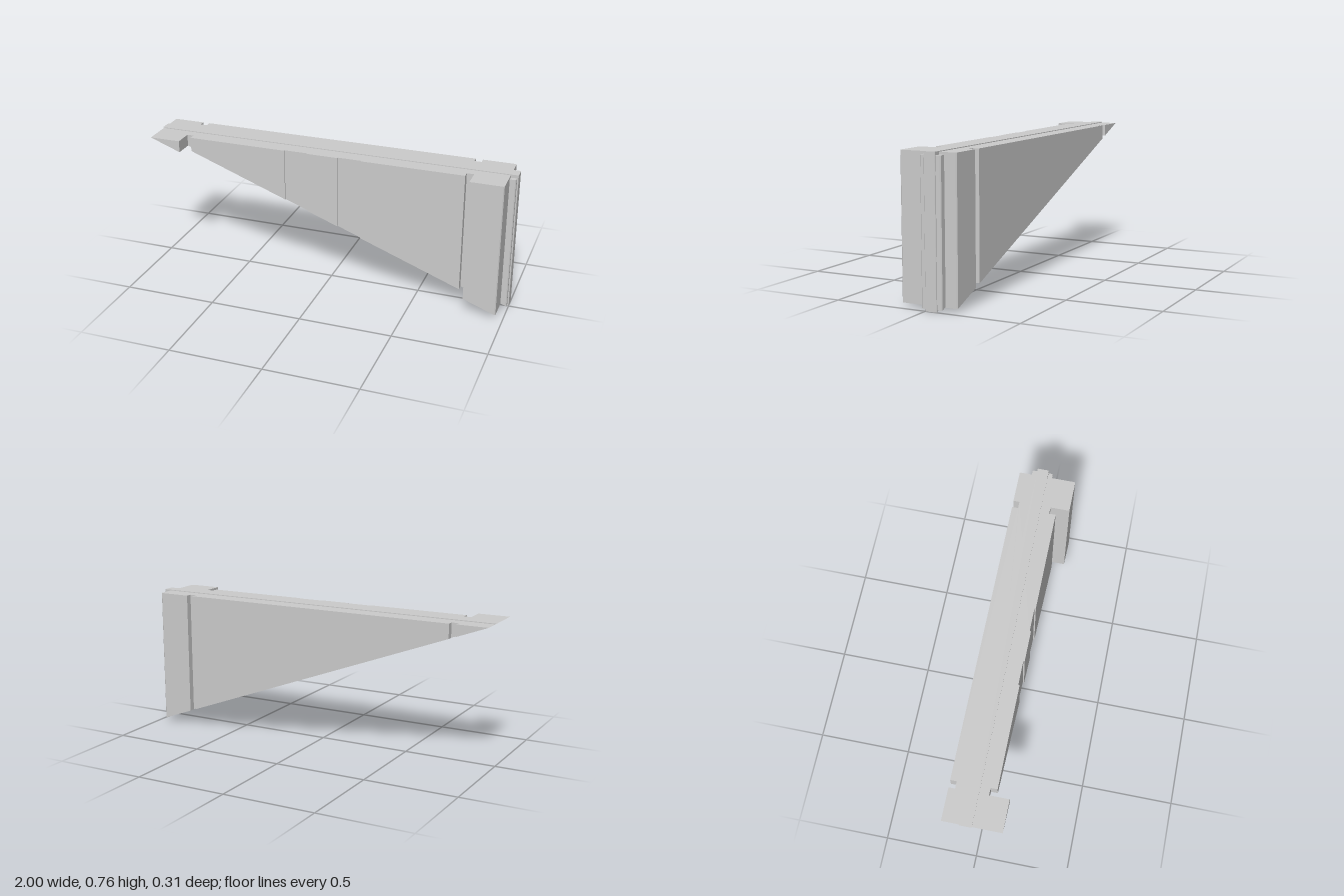
import * as THREE from 'three';

// Extrudes a plan outline of [x, z] points up to `top`, with its underside
// lying on the sloping line from (xa, ya) to (xb, yb).
function wedge(name, outline, top, [xa, ya], [xb, yb]) {
  const shape = new THREE.Shape(outline.map(([x, z]) => new THREE.Vector2(x, -z)));
  const geo = new THREE.ExtrudeGeometry(shape, { depth: 1, bevelEnabled: false });
  geo.rotateX(-Math.PI / 2);
  const p = geo.attributes.position;
  for (let i = 0; i < p.count; i++) {
    const slope = ya + (yb - ya) * (p.getX(i) - xa) / (xb - xa);
    p.setY(i, p.getY(i) > 0.5 ? top : Math.min(top, slope));
  }
  geo.computeVertexNormals();
  const mesh = new THREE.Mesh(geo, new THREE.MeshStandardMaterial({ color: 0xcccccc, flatShading: true }));
  mesh.name = name;
  return mesh;
}

export function createModel() {
  const group = new THREE.Group();
  group.name = 'taperedPanel';

  // Main body: thick end blocks, vertical grooves and shallow front recesses
  const front = [
    [-0.995, 0.153], [-0.825, 0.153], [-0.825, 0.05], [-0.788, 0.05], [-0.788, 0.085],
    [-0.238, 0.085], [-0.238, 0.078], [-0.108, 0.078], [-0.108, 0.085],
    [0.06, 0.085], [0.06, 0.078], [0.192, 0.078], [0.192, 0.085],
    [0.745, 0.085], [0.745, 0.05], [0.783, 0.05], [0.783, 0.153],
    [0.955, 0.153], [0.96, 0.148],
  ];
  const back = [
    [0.96, -0.148], [0.955, -0.153], [0.783, -0.153], [0.783, -0.12], [0.745, -0.12],
    [0.745, -0.153], [-0.788, -0.153], [-0.788, -0.12], [-0.825, -0.12],
    [-0.825, -0.153], [-0.995, -0.153],
  ];
  group.add(wedge('body', [...front, ...back], 0.753, [-0.995, 0.753], [0.96, 0.018]));

  // Thin central rib standing slightly proud along the top, end and underside
  group.add(wedge('centreRib', [
    [-1, 0], [0.997, 0], [1, -0.003], [1, -0.059], [0.997, -0.062], [-1, -0.062],
  ], 0.757, [-1, 0.757], [1, 0]));

  // Chamfered tongue on the tall end
  group.add(wedge('endTongue', [
    [0.95, 0.024], [0.988, 0.024], [0.993, 0.019],
    [0.993, -0.083], [0.988, -0.088], [0.95, -0.088],
  ], 0.74, [0.95, 0.024], [0.993, 0.01]));

  return group;
}
